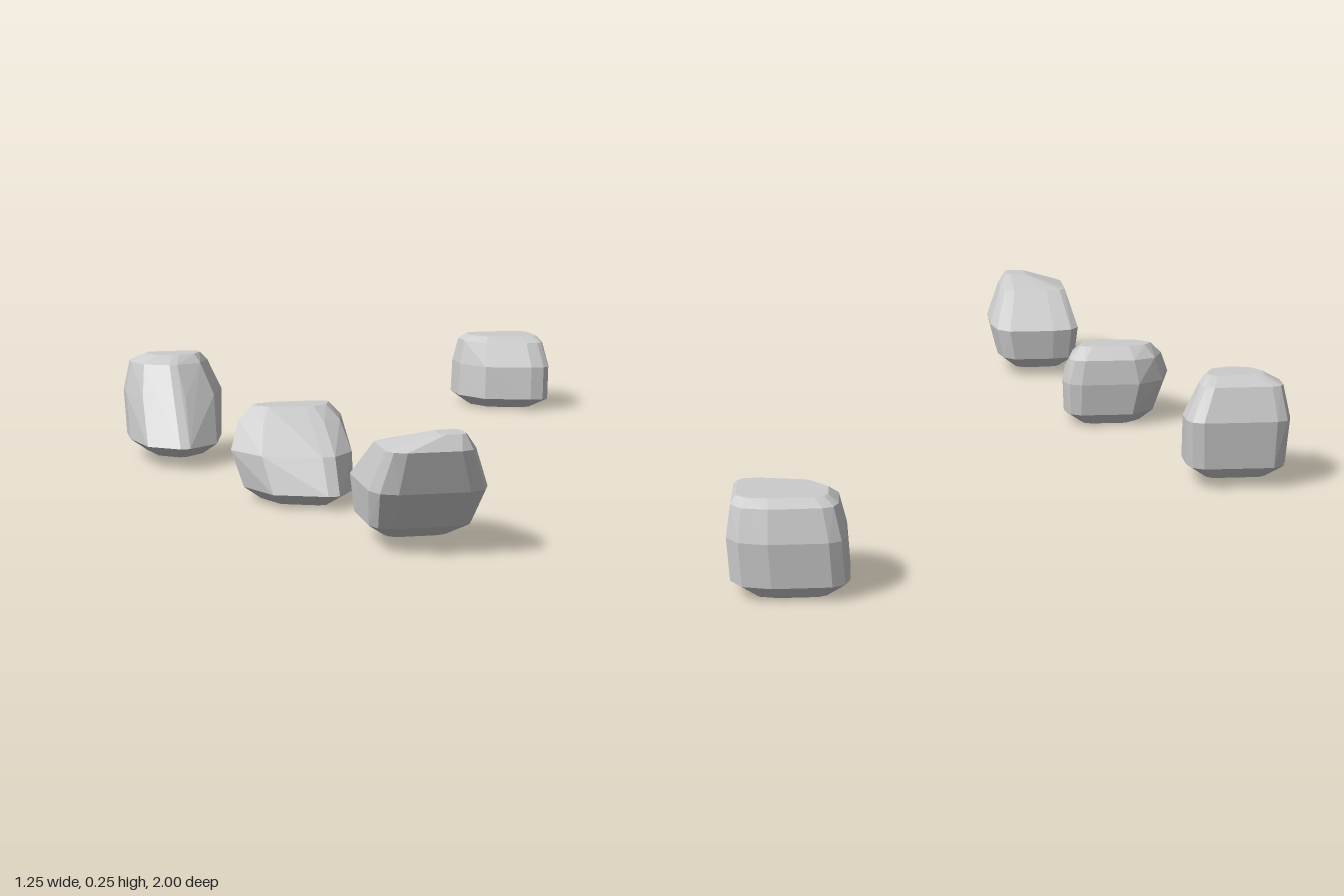
import * as THREE from 'three';
import { ConvexGeometry } from 'three/addons/geometries/ConvexGeometry.js';

const stone = new THREE.MeshStandardMaterial({ color: 0xcccccc, flatShading: true });

// Faceted boulder wrapped around stacked rounded rectangles.
// cuts: share of [width, depth] rounded off at the back right, back left, front right, front left corners
// layers: [y, xMin, xMax, zMin, zMax] from low to high
function makeRock(name, cuts, layers) {
  const points = [];
  const addRing = ([y, x0, x1, z0, z1]) => {
    cuts.forEach(([cutX, cutZ], i) => {
      const left = i % 2, front = i > 1;
      const dx = (x1 - x0) * cutX * (left ? -1 : 1);
      const dz = (z1 - z0) * cutZ * (front ? -1 : 1);
      const x = left ? x1 : x0, z = front ? z1 : z0;
      points.push(
        new THREE.Vector3(x + dx, y, z),
        new THREE.Vector3(x + dx * 0.3, y, z + dz * 0.3),
        new THREE.Vector3(x, y, z + dz));
    });
  };
  layers.forEach(addRing);

  // Smaller base just under the lowest layer
  const [y, x0, x1, z0, z1] = layers[0];
  addRing([y - 0.03, x0 + 0.04, x1 - 0.04, z0 + 0.03, z1 - 0.06]);

  const rock = new THREE.Mesh(new ConvexGeometry(points), stone);
  rock.name = name;
  return rock;
}

export function createModel() {
  const group = new THREE.Group();
  group.name = 'rocks';

  group.add(
    makeRock('frontRock', [[0.3, 0.15], [0.2, 0.35], [0.2, 0.2], [0.2, 0.2]], [
      [0.05, -0.25, -0.04, 0.7, 0.92],
      [0.13, -0.26, -0.02, 0.695, 0.98],
      [0.215, -0.235, -0.055, 0.83, 1],
      [0.245, -0.13, -0.075, 0.92, 0.98],
    ]),
    makeRock('middleRock', [[0.33, 0.5], [0.15, 0.15], [0.65, 0.5], [0.25, 0.75]], [
      [0.03, -0.42, -0.17, 0.185, 0.49],
      [0.11, -0.445, -0.165, 0.18, 0.45],
      [0.17, -0.42, -0.18, 0.19, 0.35],
      [0.2, -0.39, -0.21, 0.22, 0.3],
    ]),
    makeRock('tallRock', [[0.15, 0.15], [0.15, 0.15], [0.45, 0.55], [0.45, 0.65]], [
      [0.05, -0.62, -0.39, -0.36, -0.045],
      [0.16, -0.625, -0.385, -0.365, -0.13],
      [0.235, -0.61, -0.42, -0.335, -0.185],
      [0.255, -0.57, -0.44, -0.3, -0.22],
    ]),
    makeRock('backRock', [[0.15, 0.15], [0.35, 0.2], [0.75, 0.5], [0.1, 0.12]], [
      [0.03, 0.38, 0.615, -1, -0.73],
      [0.12, 0.385, 0.62, -1, -0.74],
      [0.185, 0.4, 0.61, -0.98, -0.78],
      [0.2, 0.42, 0.6, -0.955, -0.82],
    ]),
  );
  return group;
}
